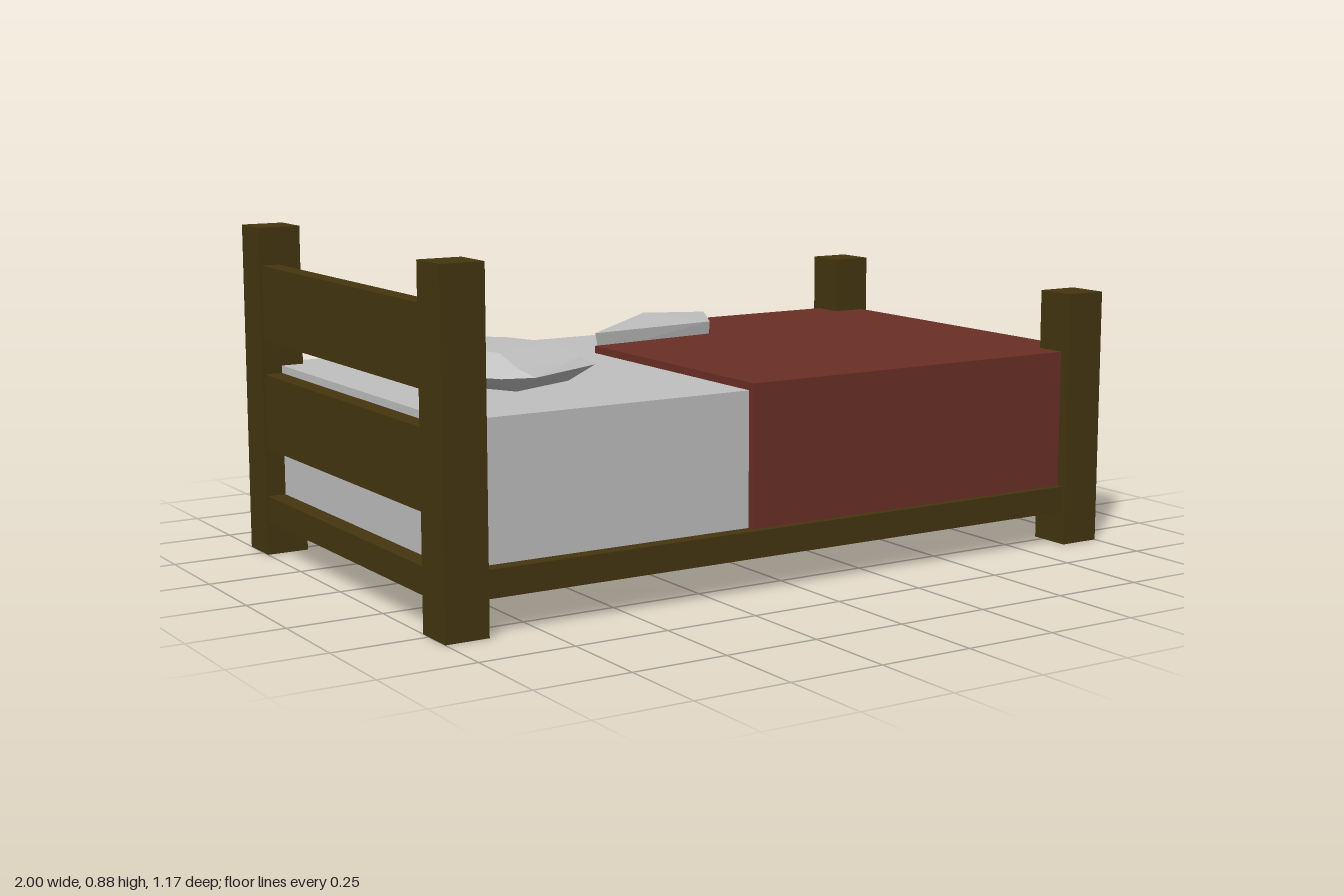
import * as THREE from 'three';
import { ConvexGeometry } from 'three/addons/geometries/ConvexGeometry.js';

const material = (name, color) => Object.assign(new THREE.MeshStandardMaterial({ color }), { name });

export function createModel() {
  const wood = material('dark wood', 0x453610);
  const linen = material('grey linen', 0xc0c0c0);
  const red = material('red blanket', 0x6b2f26);
  const bed = new THREE.Group();
  bed.name = 'bed';

  const add = (name, geometry, mat, parent = bed) => {
    const mesh = new THREE.Mesh(geometry, mat);
    mesh.name = name;
    parent.add(mesh);
    return mesh;
  };
  // Box given by its lower and upper limits on each axis
  const box = (name, mat, [x0, x1], [y0, y1], [z0, z1], parent) =>
    add(name, new THREE.BoxGeometry(x1 - x0, y1 - y0, z1 - z0)
      .translate((x0 + x1) / 2, (y0 + y1) / 2, (z0 + z1) / 2), mat, parent);
  const hull = (name, mat, points, parent) =>
    add(name, new ConvexGeometry(points.map(p => new THREE.Vector3(...p))), mat, parent);
  const slab = (points, depth) => new THREE.ExtrudeGeometry(
    new THREE.Shape(points.map(p => new THREE.Vector2(...p))), { depth, bevelEnabled: false });

  // Corner posts and side rails
  for (const [side, z] of [['left', [0.47, 0.585]], ['right', [-0.585, -0.47]]]) {
    box(side + ' head post', wood, [-1, -0.885], [0, 0.88], z);
    box(side + ' foot post', wood, [0.885, 1], [0, 0.69], z);
  }
  box('front side rail', wood, [-0.9, 0.9], [0.09, 0.16], [0.53, 0.575]);
  box('back side rail', wood, [-0.9, 0.9], [0.09, 0.16], [-0.575, -0.53]);

  // End rails and headboard planks
  box('foot rail', wood, [0.945, 0.994], [0.09, 0.16], [-0.48, 0.48]);
  box('head rail', wood, [-0.994, -0.945], [0.09, 0.16], [-0.48, 0.48]);
  box('lower headboard plank', wood, [-0.994, -0.945], [0.29, 0.49], [-0.48, 0.48]);
  box('upper headboard plank', wood, [-0.994, -0.945], [0.58, 0.78], [-0.48, 0.48]);

  box('mattress', linen, [-0.945, 0.95], [0.11, 0.51], [-0.535, 0.535]);

  // Blanket: top sheet with a turned-back corner, and three hanging sides
  const blanket = new THREE.Group();
  blanket.name = 'blanket';
  bed.add(blanket);
  const top = slab([[-0.125, 0.555], [-0.125, -0.22], [0.28, -0.26], [0.47, -0.56],
    [0.985, -0.56], [0.985, 0.555]], 0.02);
  add('blanket top', top.rotateX(Math.PI / 2).translate(0, 0.53, 0), red, blanket);
  box('blanket front side', red, [-0.125, 0.985], [0.13, 0.51], [0.53, 0.555], blanket);
  box('blanket foot side', red, [0.945, 0.985], [0.13, 0.51], [-0.56, 0.555], blanket);
  add('blanket back side', slab([[0.47, 0.51], [0.53, 0.13], [0.985, 0.13], [0.985, 0.51]], 0.03)
    .translate(0, 0, -0.56), red, blanket);

  // Turned-back corner showing the lining, draped over the back edge
  hull('fold top', linen, [
    [-0.125, 0.565, -0.22], [0.24, 0.56, -0.56], [0.47, 0.545, -0.585], [0.28, 0.565, -0.26],
    [-0.11, 0.511, -0.225], [0.25, 0.511, -0.545], [0.47, 0.511, -0.575], [0.28, 0.525, -0.265],
  ], blanket);
  hull('fold side', linen, [
    [0.24, 0.56, -0.56], [0.47, 0.545, -0.585], [0.53, 0.15, -0.572], [0.455, 0.15, -0.572],
    [0.27, 0.51, -0.53], [0.47, 0.51, -0.53], [0.53, 0.15, -0.53], [0.47, 0.15, -0.53],
  ], blanket);

  // Faceted pillow: bottom, middle and top rings
  const ring = (y, points) => points.map(([x, z]) => [x, y, z]);
  hull('pillow', linen, [
    ...ring(0.53, [[-0.62, -0.03], [-0.78, 0.06], [-0.78, 0.16], [-0.68, 0.35], [-0.49, 0.27],
      [-0.47, 0.18], [-0.54, 0.0]]),
    ...ring(0.57, [[-0.63, -0.09], [-0.83, 0.01], [-0.865, 0.06], [-0.86, 0.16], [-0.79, 0.31],
      [-0.74, 0.385], [-0.66, 0.41], [-0.43, 0.3], [-0.43, 0.24], [-0.505, -0.01], [-0.54, -0.05]]),
    ...ring(0.59, [[-0.62, -0.07], [-0.82, 0.03], [-0.69, 0.38], [-0.46, 0.28]]),
    ...ring(0.62, [[-0.6, 0.02], [-0.78, 0.1], [-0.7, 0.3], [-0.5, 0.21], [-0.55, 0.07]]),
  ]);

  return bed;
}
